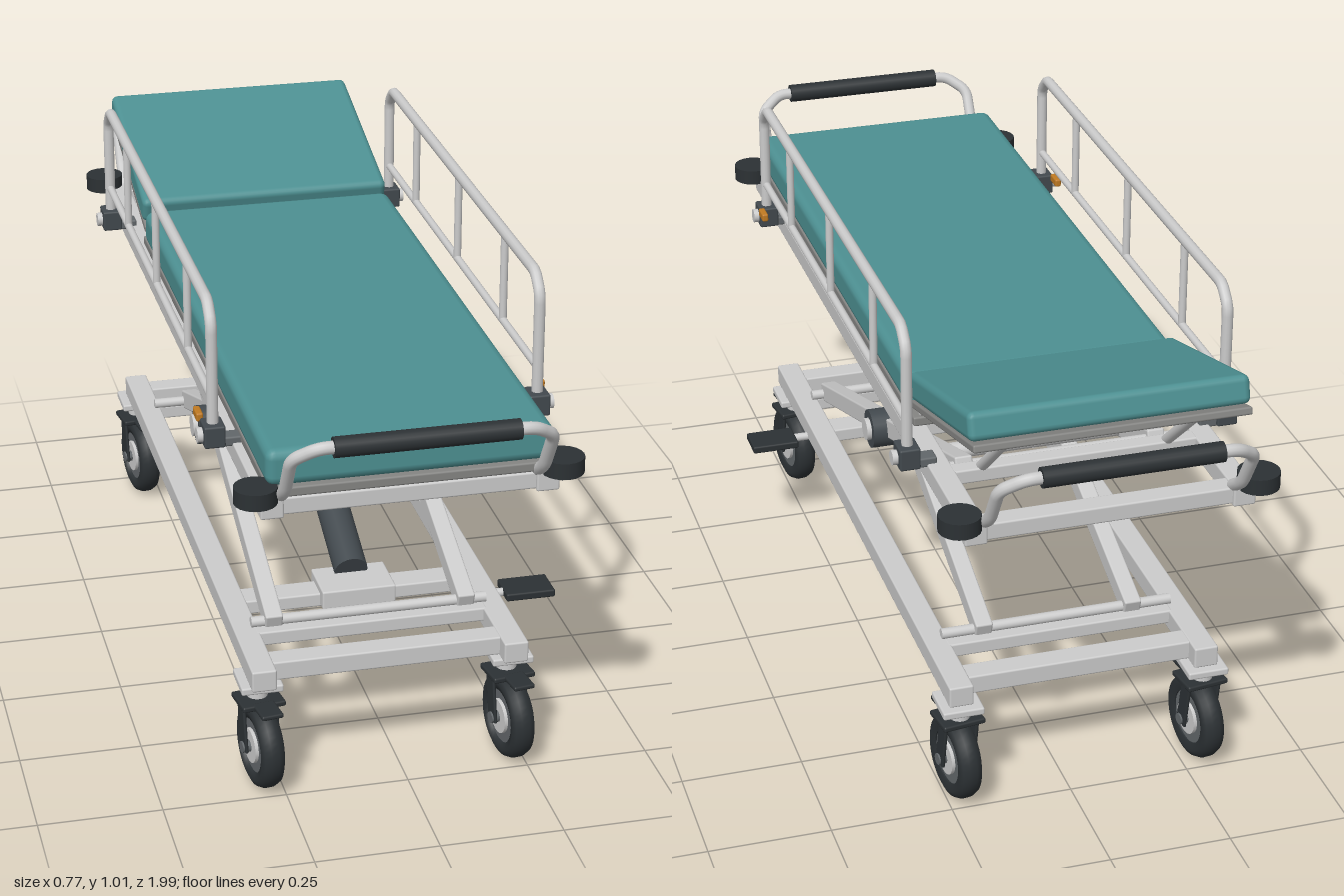
import * as THREE from 'three';
import { RoundedBoxGeometry } from 'three/addons/geometries/RoundedBoxGeometry.js';

const mat = (color) => new THREE.MeshStandardMaterial({ color });
const METAL = mat(0xcccccc), DARK = mat(0x2c3134), STEEL = mat(0x42494e), DECK = mat(0x858583);
const TEAL = mat(0x4d9092), ORANGE = mat(0xc07a22), GREY = mat(0x62676a);
const V = (x, y, z) => new THREE.Vector3(x, y, z);

function add(parent, name, geometry, material, x = 0, y = 0, z = 0) {
  const m = new THREE.Mesh(geometry, material);
  m.name = name;
  m.position.set(x, y, z);
  parent.add(m);
  return m;
}

function box(parent, name, w, h, d, x, y, z, material = METAL, r = 0.004) {
  return add(parent, name, new RoundedBoxGeometry(w, h, d, 2, r), material, x, y, z);
}

// Round bar between two points
function rod(parent, name, a, b, r, material = METAL) {
  const m = add(parent, name, new THREE.CylinderGeometry(r, r, a.distanceTo(b), 20), material);
  m.position.copy(a).lerp(b, 0.5);
  m.quaternion.setFromUnitVectors(V(0, 1, 0), b.clone().sub(a).normalize());
  return m;
}

// Square bar lying in a plane of constant x
function beam(parent, name, x, y1, z1, y2, z2, w, h, material = METAL) {
  const m = box(parent, name, w, h, Math.hypot(y2 - y1, z2 - z1), x, (y1 + y2) / 2, (z1 + z2) / 2, material);
  m.rotation.x = -Math.atan2(y2 - y1, z2 - z1);
  return m;
}

// Bent tube: straight runs with rounded corners
function bentTube(parent, name, pts, radius, bend, material = METAL) {
  const path = new THREE.CurvePath();
  let from = pts[0];
  for (let i = 1; i < pts.length - 1; i++) {
    const p = pts[i];
    const inP = p.clone().add(pts[i - 1].clone().sub(p).setLength(bend));
    const outP = p.clone().add(pts[i + 1].clone().sub(p).setLength(bend));
    path.add(new THREE.LineCurve3(from, inP));
    path.add(new THREE.QuadraticBezierCurve3(inP, p, outP));
    from = outP;
  }
  path.add(new THREE.LineCurve3(from, pts[pts.length - 1]));
  return add(parent, name, new THREE.TubeGeometry(path, 120, radius, 12), material);
}

function caster(x, z) {
  const g = new THREE.Group();
  g.name = 'caster';
  g.position.set(x, 0, z);
  g.rotation.y = 0.14;
  const profile = [[0.056, -0.02], [0.072, -0.025], [0.083, -0.02], [0.089, -0.008],
    [0.089, 0.008], [0.083, 0.02], [0.072, 0.025], [0.056, 0.02], [0.056, -0.02]];
  const tyre = add(g, 'tyre', new THREE.LatheGeometry(profile.map((p) => new THREE.Vector2(...p)), 40), DARK, 0, 0.089, 0);
  tyre.rotation.z = Math.PI / 2;
  rod(g, 'wheelDisc', V(-0.017, 0.089, 0), V(0.017, 0.089, 0), 0.057, GREY);
  rod(g, 'wheelHub', V(-0.024, 0.089, 0), V(0.024, 0.089, 0), 0.036);
  rod(g, 'axle', V(-0.041, 0.089, 0), V(0.041, 0.089, 0), 0.012, GREY);
  for (const s of [-1, 1]) beam(g, 'forkLeg', s * 0.034, 0.078, 0, 0.187, -0.018, 0.007, 0.034, DARK);
  box(g, 'forkCrown', 0.09, 0.012, 0.075, 0, 0.186, -0.01, DARK);
  box(g, 'brakeTab', 0.045, 0.01, 0.06, 0, 0.188, 0.045, DARK);
  rod(g, 'swivelStem', V(0, 0.19, -0.018), V(0, 0.222, -0.018), 0.021);
  return g;
}

function endHandle(s) {
  const g = new THREE.Group();
  g.name = s > 0 ? 'footHandle' : 'headHandle';
  const half = [V(0.25, 0.715, 0.85), V(0.25, 0.745, 0.895), V(0.25, 0.835, 0.95), V(0.205, 0.865, 0.976)];
  const pts = [...half, ...half.slice().reverse().map((p) => V(-p.x, p.y, p.z))];
  bentTube(g, 'handleTube', pts, 0.0125, 0.02);
  rod(g, 'foamGrip', V(-0.177, 0.865, 0.976), V(0.177, 0.865, 0.976), 0.02, DARK);
  g.rotation.y = s > 0 ? 0 : Math.PI;
  return g;
}

function sideRail(s) {
  const g = new THREE.Group();
  g.name = s > 0 ? 'leftSideRail' : 'rightSideRail';
  const x = s * 0.326;
  bentTube(g, 'railTube', [V(x, 0.72, 0.595), V(x, 0.965, 0.595), V(x, 1.0, 0.56),
    V(x, 1.0, -0.56), V(x, 0.965, -0.595), V(x, 0.72, -0.595)], 0.0115, 0.014);
  rod(g, 'lowerRail', V(x, 0.81, 0.595), V(x, 0.81, -0.595), 0.008);
  for (const z of [-0.348, 0, 0.348]) rod(g, 'railPost', V(x, 0.81, z), V(x, 1.0, z), 0.008);
  for (const z of [-0.595, 0.595]) {
    box(g, 'railClamp', 0.042, 0.045, 0.052, x, 0.737, z, STEEL);
    rod(g, 'clampKnob', V(s * 0.34, 0.735, z), V(s * 0.358, 0.735, z), 0.015);
    box(g, 'clampBracket', 0.05, 0.02, 0.035, s * 0.295, 0.722, z, GREY);
  }
  box(g, 'releaseLatch', 0.014, 0.018, 0.04, s * 0.345, 0.757, 0.545, ORANGE);
  return g;
}

export function createModel() {
  const model = new THREE.Group();
  const g = new THREE.Group();
  g.name = 'stretcher';
  g.position.x = -0.032;
  model.add(g);

  // Wheeled base
  for (const s of [-1, 1]) {
    box(g, 'baseRail', 0.05, 0.045, 1.47, s * 0.257, 0.254, 0);
    box(g, 'baseCrossbar', 0.48, 0.04, 0.05, 0, 0.254, s * 0.675);
    box(g, 'pivotCrossbar', 0.48, 0.03, 0.04, 0, 0.262, s * 0.56);
    rod(g, 'lowerShaft', V(-0.245, 0.285, s * 0.545), V(0.245, 0.285, s * 0.545), 0.011);
    for (const z of [-0.69, 0.69]) {
      box(g, 'casterPlate', 0.085, 0.016, 0.09, s * 0.257, 0.224, z - 0.018);
      g.add(caster(s * 0.257, z));
    }
  }

  // Foot pedal on the left side
  box(g, 'pumpCrossbar', 0.48, 0.03, 0.06, 0, 0.26, 0.41);
  box(g, 'pumpMount', 0.155, 0.04, 0.11, 0, 0.27, 0.41);
  rod(g, 'pedalArm', V(0.25, 0.235, 0.445), V(0.33, 0.235, 0.445), 0.009);
  box(g, 'pedalPad', 0.105, 0.017, 0.075, 0.364, 0.237, 0.442, DARK);

  // Scissor lift
  for (const s of [-1, 1]) {
    beam(g, 'outerArm', s * 0.2, 0.283, 0.56, 0.672, -0.56, 0.036, 0.042);
    beam(g, 'innerArm', s * 0.159, 0.672, 0.56, 0.283, -0.56, 0.036, 0.042);
    rod(g, 'pivotHub', V(s * 0.178, 0.477, 0), V(s * 0.248, 0.477, 0), 0.042, STEEL);
    rod(g, 'pivotCap', V(s * 0.24, 0.477, 0), V(s * 0.258, 0.477, 0), 0.024);
    rod(g, 'upperShaft', V(-0.245, 0.667, s * 0.545), V(0.245, 0.667, s * 0.545), 0.011);
    box(g, 'pivotSpacer', 0.045, 0.03, 0.04, s * 0.155, 0.45, 0, STEEL);
  }
  rod(g, 'liftCrossbar', V(-0.19, 0.607, -0.375), V(0.19, 0.607, -0.375), 0.017);
  rod(g, 'liftCylinder', V(0, 0.295, 0.39), V(0, 0.497, -0.11), 0.035, STEEL);
  rod(g, 'liftPiston', V(0, 0.48, -0.07), V(0, 0.607, -0.375), 0.018);

  // Upper frame
  for (const s of [-1, 1]) {
    box(g, 'frameRail', 0.045, 0.042, 1.74, s * 0.268, 0.698, 0);
    box(g, 'endCrossbar', 0.55, 0.035, 0.045, 0, 0.698, s * 0.84);
    for (const z of [-0.86, 0.86]) {
      rod(g, 'cornerBumper', V(s * 0.298, 0.712, z), V(s * 0.298, 0.745, z), 0.042, DARK);
    }
    g.add(endHandle(s), sideRail(s));
  }
  for (const z of [-0.64, -0.43, -0.2, 0.2, 0.56]) box(g, 'deckCrossbar', 0.5, 0.03, 0.035, 0, 0.704, z);

  // Deck and cushions
  box(g, 'deckPanel', 0.55, 0.02, 1.33, 0, 0.73, 0.205, DECK);
  box(g, 'mainMattress', 0.557, 0.075, 1.29, 0, 0.777, 0.222, TEAL, 0.02);
  const back = new THREE.Group();
  back.name = 'backrest';
  back.position.set(0, 0.86, -0.645);
  back.rotation.x = 0.274;
  box(back, 'headMattress', 0.557, 0.058, 0.43, 0, 0, 0, TEAL, 0.014);
  box(back, 'backrestPanel', 0.55, 0.016, 0.45, 0, -0.039, 0, DECK);
  g.add(back);
  for (const s of [-1, 1]) {
    rod(g, 'backrestStrut', V(s * 0.19, 0.705, -0.63), V(s * 0.19, 0.85, -0.8), 0.011);
    rod(g, 'backrestHinge', V(s * 0.2, 0.75, -0.445), V(s * 0.26, 0.75, -0.445), 0.014);
  }
  return model;
}
